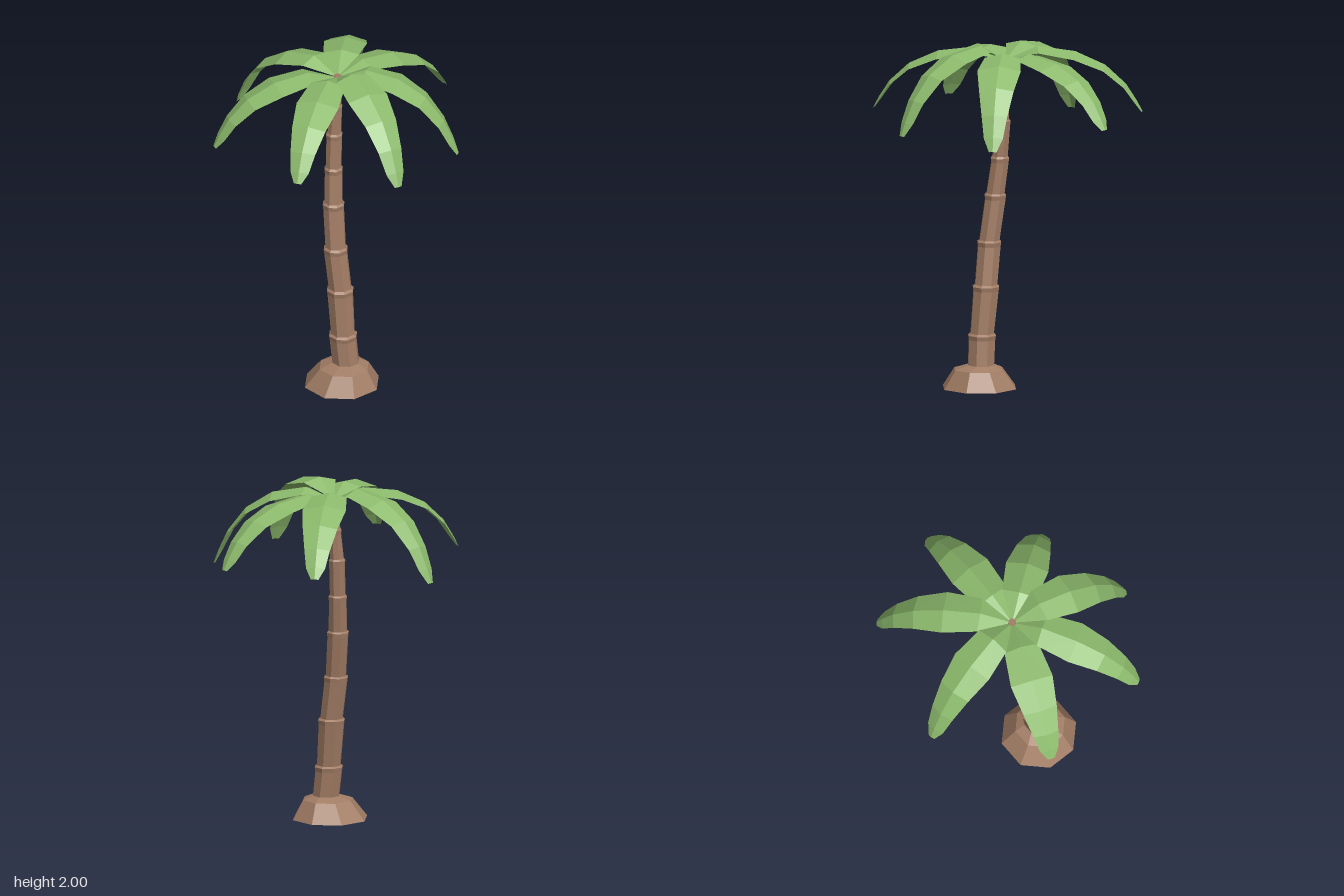
import * as THREE from 'three';

const bark = new THREE.MeshStandardMaterial({ color: 0xa17c64, flatShading: true });
const leaf = new THREE.MeshStandardMaterial({ color: 0x8cba6c, flatShading: true, side: THREE.DoubleSide });

// Skin a list of equally long rows of points; closed rows wrap around.
function loft(rows, closed) {
  const n = rows[0].length, index = [];
  for (let i = 0; i < rows.length - 1; i++) {
    for (let j = 0; j < (closed ? n : n - 1); j++) {
      const k = (j + 1) % n, a = i * n + j, b = i * n + k;
      index.push(a, a + n, b, b, a + n, b + n);
    }
  }
  const geo = new THREE.BufferGeometry();
  geo.setFromPoints(rows.flat());
  geo.setIndex(index);
  geo.computeVertexNormals();
  return geo;
}

// Horizontal eight-sided ring
function ring(x, y, z, r, sides = 8) {
  return Array.from({ length: sides }, (_, i) => {
    const a = i / sides * Math.PI * 2;
    return new THREE.Vector3(x + Math.cos(a) * r, y, z + Math.sin(a) * r);
  });
}

function mesh(name, geo, mat) {
  const m = new THREE.Mesh(geo, mat);
  m.name = name;
  return m;
}

function createTrunk() {
  const g = new THREE.Group();
  g.name = 'trunk';
  // Flared root mound, closed below and above
  g.add(mesh('rootMound', loft([
    ring(0.1, 0, 0.115, 0), ring(0.1, 0, 0.115, 0.223), ring(0.115, 0.11, 0.115, 0.148),
    ring(0.118, 0.135, 0.1, 0.082), ring(0.118, 0.135, 0.1, 0),
  ], true), bark));

  // Stacked sections, each widening to a rim: x, y, z, rim radius
  const joints = [
    [0.118, 0.125, 0.1, 0.095], [0.1, 0.305, 0.1, 0.085], [0.075, 0.585, 0.085, 0.081],
    [0.042, 0.84, 0.077, 0.073], [0.015, 1.11, 0.05, 0.066], [0.003, 1.325, 0.026, 0.056],
    [0, 1.54, 0.012, 0.05], [0.008, 1.72, 0.004, 0.038], [0.01, 1.9, -0.01, 0.027],
  ];
  for (let i = 1; i < joints.length; i++) {
    const [x0, y0, z0, r0] = joints[i - 1], [x1, y1, z1, r1] = joints[i];
    g.add(mesh('trunkSection' + i, loft([
      ring(x0, y0, z0, r0 * 0.84),
      ring(x1, y1 - 0.025, z1, r1 * 0.95), ring(x1, y1, z1, r1),
      ring(x1, y1 + 0.012, z1, r1 * 0.82), ring(x1, y1 + 0.012, z1, 0),
    ], true), bark));
  }
  return g;
}

// Arching frond folded along its midrib, from the crown to a drooping tip
function createFrond(crown, [tipX, tipZ, tipY, peak]) {
  // distance along, fall from peak to tip, half width
  const stations = [
    [0.235, 0, 0.102], [0.51, 0.08, 0.125], [0.73, 0.29, 0.1],
    [0.88, 0.58, 0.074], [0.96, 0.84, 0.055], [1, 1, 0.022],
  ];
  const span = new THREE.Vector3(tipX - crown.x, 0, tipZ - crown.z);
  const side = new THREE.Vector3(-span.z, 0, span.x).normalize();
  const ridge = [crown.clone()];
  for (const [t, f] of stations) {
    const p = crown.clone().addScaledVector(span, t);
    p.y = peak + (tipY - peak) * f;
    ridge.push(p);
  }
  const rows = ridge.map((p, i) => {
    const w = i ? stations[i - 1][2] : 0;
    const along = ridge[Math.min(i + 1, ridge.length - 1)].clone().sub(ridge[Math.max(i - 1, 0)]).normalize();
    const down = new THREE.Vector3().crossVectors(side, along).normalize();
    if (down.y > 0) down.negate();
    const edge = s => p.clone().addScaledVector(side, s * w).addScaledVector(down, w * 0.26);
    return [edge(-1), p, edge(1)];
  });
  return loft(rows, false);
}

export function createModel() {
  const palm = new THREE.Group();
  palm.name = 'palmTree';
  palm.add(createTrunk());

  // Fronds: tip x, tip z, tip height, highest point of the arch
  const crown = new THREE.Vector3(0.01, 1.9, -0.01);
  const fronds = new THREE.Group();
  fronds.name = 'fronds';
  [
    [-0.255, -0.75, 1.6, 1.98], [0.34, -0.735, 1.59, 1.955], [0.7, -0.18, 1.49, 1.965],
    [0.61, 0.41, 1.53, 2.0], [0.13, 0.75, 1.6, 1.97], [-0.515, 0.525, 1.58, 1.96],
    [-0.7, -0.16, 1.51, 1.985],
  ].forEach((f, i) => fronds.add(mesh('frond' + (i + 1), createFrond(crown, f), leaf)));
  palm.add(fronds);
  return palm;
}
